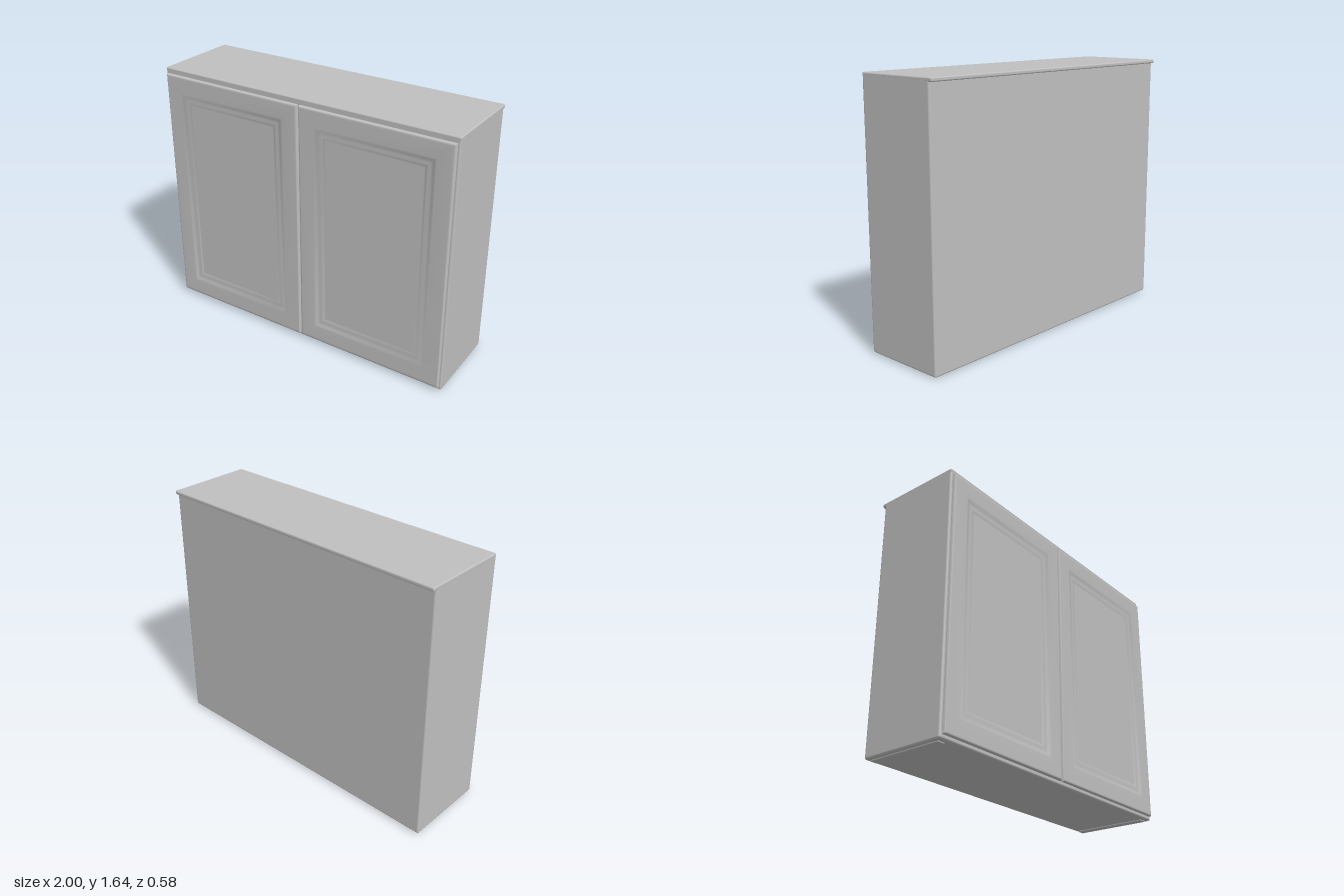
import * as THREE from 'three';
import { RoundedBoxGeometry } from 'three/addons/geometries/RoundedBoxGeometry.js';
import { toCreasedNormals } from 'three/addons/utils/BufferGeometryUtils.js';

const paint = new THREE.MeshStandardMaterial({ color: 0xbfbfbf });
paint.name = 'grey paint';

// Named box with softened edges, given by its two opposite corners
function softBox(name, [x0, y0, z0], [x1, y1, z1], radius) {
  const geometry = new RoundedBoxGeometry(x1 - x0, y1 - y0, z1 - z0, 3, radius);
  const mesh = new THREE.Mesh(geometry, paint);
  mesh.position.set((x0 + x1) / 2, (y0 + y1) / 2, (z0 + z1) / 2);
  mesh.name = name;
  return mesh;
}

// Door profile from the back edge to the middle panel: [inset, z]
const doorProfile = [
  [0, 0.265], [0, 0.283], [0.002, 0.288], [0.006, 0.291], [0.012, 0.292], [0.016, 0.292],
  [0.105, 0.292], [0.11, 0.2915], [0.122, 0.287], [0.133, 0.2835], [0.14, 0.283],
  [0.158, 0.283], [0.162, 0.2825], [0.168, 0.28], [0.174, 0.279], [0.18, 0.279],
];

// Panelled door made of nested rectangular rings
function doorGeometry(w, h) {
  const positions = [], index = [];
  for (const [inset, z] of doorProfile) {
    const x = w / 2 - inset, y = h / 2 - inset;
    positions.push(-x, -y, z, x, -y, z, x, y, z, -x, y, z);
  }
  const last = (doorProfile.length - 1) * 4;
  for (let r = 0; r < last; r += 4) {
    for (let i = 0; i < 4; i++) {
      const a = r + i, b = r + (i + 1) % 4;
      index.push(a, b, b + 4, a, b + 4, a + 4);
    }
  }
  index.push(last, last + 1, last + 2, last, last + 2, last + 3); // centre panel
  index.push(0, 2, 1, 0, 3, 2); // back
  const geometry = new THREE.BufferGeometry();
  geometry.setAttribute('position', new THREE.Float32BufferAttribute(positions, 3));
  geometry.setIndex(index);
  return toCreasedNormals(geometry, 0.65);
}

export function createModel() {
  const cabinet = new THREE.Group();
  cabinet.name = 'wallCabinet';

  // Carcass and top slab with a small lip at the back
  cabinet.add(softBox('carcass', [-1, 0.008, -0.27], [1, 1.63, 0.272], 0.012));
  cabinet.add(softBox('topSlab', [-1, 1.613, -0.29], [1, 1.637, 0.272], 0.008));

  const door = doorGeometry(0.978, 1.57);
  for (const [side, s] of [['left', 1], ['right', -1]]) {
    // Pair of doors with a narrow gap between them
    const mesh = new THREE.Mesh(door, paint);
    mesh.position.set(s * 0.495, 0.817, 0);
    mesh.name = side + 'Door';
    cabinet.add(mesh);

    // Low runner under each end
    const x = s * 0.95;
    cabinet.add(softBox(side + 'Runner', [x - 0.025, 0, -0.25], [x + 0.025, 0.02, 0.24], 0.006));
  }
  return cabinet;
}
